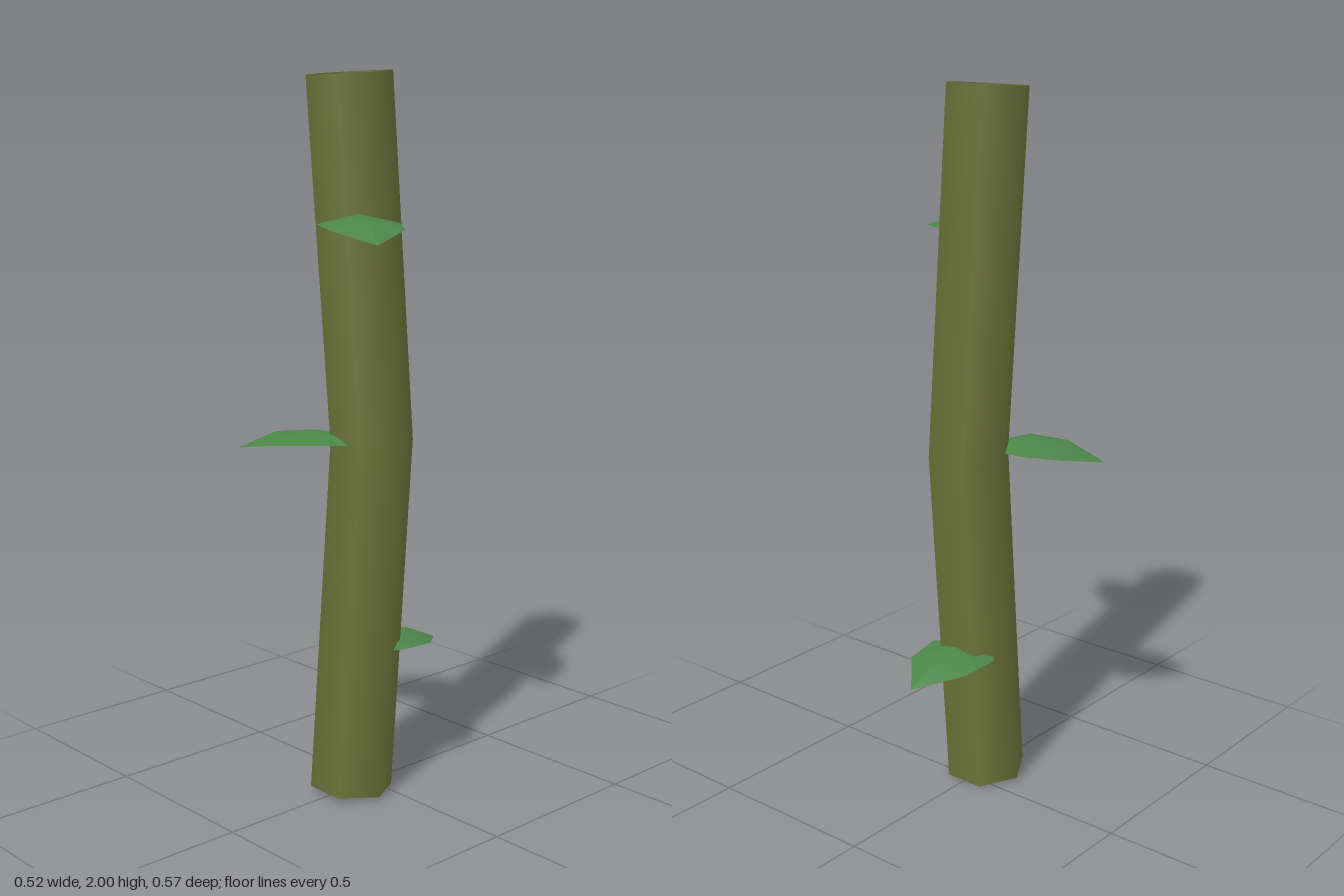
import * as THREE from 'three';

const stemGreen = new THREE.MeshStandardMaterial({ color: 0x6b7338, side: THREE.DoubleSide });
stemGreen.name = 'stemGreen';
const leafGreen = new THREE.MeshStandardMaterial({ color: 0x4c8648, side: THREE.DoubleSide });
leafGreen.name = 'leafGreen';

const END_X = -0.07; // stem axis at both ends
const BEND = 0.08;   // sideways shift of the axis at mid height

// Hollow six-sided stem, bent once in the middle, with its ends cut square to the axis
function makeStem() {
  const geo = new THREE.CylinderGeometry(0.117, 0.117, 1.985, 6, 2, true);
  const p = geo.attributes.position;
  for (let i = 0; i < p.count; i++) {
    const x = p.getX(i);
    const level = Math.sign(Math.round(p.getY(i) * 10)); // -1 bottom, 0 bend, 1 top
    p.setX(i, x + END_X + (level === 0 ? BEND : 0));
    p.setY(i, 1 + level * 0.9925 + level * 0.075 * x);
  }
  const stem = new THREE.Mesh(geo, stemGreen);
  stem.name = 'stem';
  return stem;
}

// Leaf pointing along +x: cross-sections of [distance, half width, edge height, ridge height]
function makeLeafGeometry() {
  const sections = [
    [0, 0.03, 0, 0.01],
    [0.107, 0.112, 0.01, 0.035],
    [0.218, 0.098, 0, 0.023],
    [0.33, 0, -0.03, -0.03],
  ];
  const points = [];
  const faces = [];
  sections.forEach(([x, w, edge, ridge], i) => {
    points.push(x, edge, -w, x, ridge, 0, x, edge, w);
    if (i === 0) return;
    for (let j = 0; j < 2; j++) {
      const a = (i - 1) * 3 + j;
      const c = a + 3;
      faces.push(a, a + 1, c, a + 1, c + 1, c);
    }
  });
  const geo = new THREE.BufferGeometry();
  geo.setAttribute('position', new THREE.Float32BufferAttribute(points, 3));
  geo.setIndex(faces);
  geo.computeVertexNormals();
  return geo;
}

export function createModel() {
  const model = new THREE.Group();
  model.name = 'leafyStem';
  model.add(makeStem());

  // Three leaves spiralling up the stem, a third of a turn apart
  const leafGeo = makeLeafGeometry();
  ['lowerLeaf', 'middleLeaf', 'upperLeaf'].forEach((name, i) => {
    const leaf = new THREE.Mesh(leafGeo, leafGreen);
    leaf.name = name;
    leaf.position.set(END_X, 0.407 + i * 0.595, 0);
    leaf.rotation.y = (i * Math.PI * 2) / 3;
    model.add(leaf);
  });
  return model;
}
